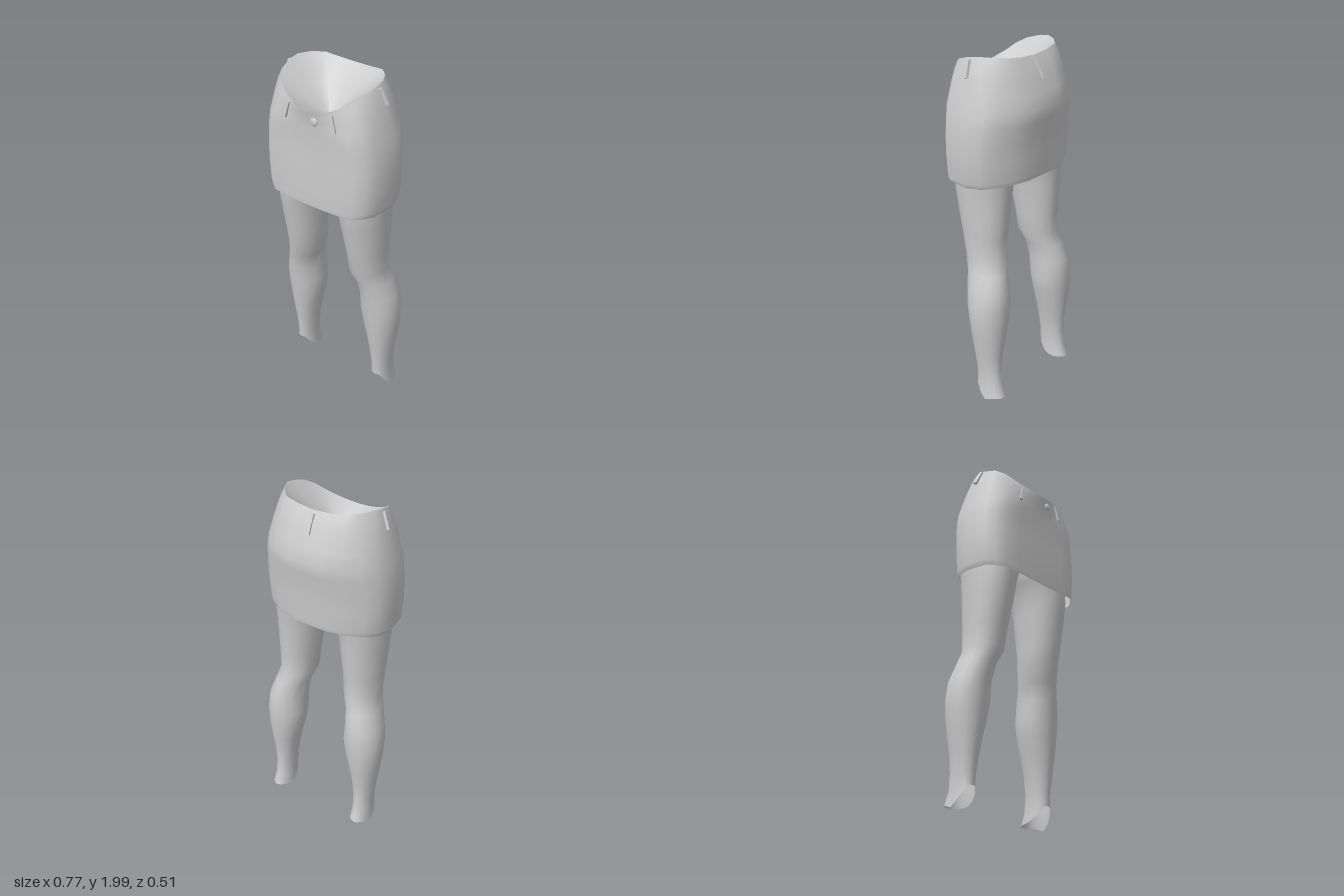
import * as THREE from 'three';

const lerp = THREE.MathUtils.lerp;
const material = new THREE.MeshStandardMaterial({ color: 0xcccccc, side: THREE.DoubleSide });

// Right half of the hip outline and of the waist rim, from front to back
const HIP = [[0, .225], [.08, .225], [.17, .223], [.27, .22], [.32, .18], [.36, .135],
  [.383, 0], [.355, -.105], [.3, -.165], [.21, -.225], [.105, -.255], [0, -.257]];
const RIM = [[0, .247], [.06, .243], [.12, .222], [.18, .2], [.23, .17], [.265, .12],
  [.278, .04], [.272, -.02], [.24, -.08], [.185, -.135], [.1, -.148], [0, -.155]];
const RIM_Y = [1.85, 1.855, 1.875, 1.9, 1.935, 1.965, 1.99, 2, 2, 1.995, 1.985, 1.98];

// Adds the mirrored half to a front-to-back list of points
function mirrorRing(half) {
  const other = half.slice(1, -1).reverse().map(p => new THREE.Vector3(-p.x, p.y, p.z));
  return [...half, ...other];
}

// Skins a stack of closed rings, ordered bottom to top
function loft(name, rings) {
  const n = rings[0].length, index = [];
  for (let r = 0; r < rings.length - 1; r++) {
    for (let i = 0; i < n; i++) {
      const a = r * n + i, b = r * n + (i + 1) % n;
      index.push(a, b, b + n, a, b + n, a + n);
    }
  }
  const geometry = new THREE.BufferGeometry().setFromPoints(rings.flat());
  geometry.setIndex(index);
  geometry.computeVertexNormals();
  const mesh = new THREE.Mesh(geometry, material);
  mesh.name = name;
  return mesh;
}

function skirtRings() {
  // Lower part: half width, front z, back z, front y, back y
  const lower = [
    [.362, .22, -.213, 1.29, 1.335], [.376, .222, -.217, 1.32, 1.36], [.384, .225, -.223, 1.45, 1.47],
    [.384, .224, -.23, 1.55, 1.56], [.377, .223, -.246, 1.64, 1.66], [.362, .228, -.256, 1.72, 1.73],
  ].map(([w, zf, zb, yf, yb]) => mirrorRing(HIP.map(([x, z], i) => new THREE.Vector3(
    x * w / .383, lerp(yf, yb, (1 - Math.cos(i / 11 * Math.PI)) / 2),
    z > 0 ? z * zf / .225 : z * zb / -.257))));
  // Upper part: height toward the rim, taper toward the rim
  const upper = [[.3, .24], [.6, .5], [.82, .74], [1, 1]].map(([h, t]) =>
    mirrorRing(HIP.map(([x, z], i) => new THREE.Vector3(
      lerp(x * .945, RIM[i][0], t), lerp(1.725, RIM_Y[i], h), lerp(z, RIM[i][1], t)))));
  return [...lower, ...upper];
}

// Leg sections: y, inner x, outer x, front z, back z
const LEG = [
  [.12, .228, .335, 0, -.165], [.2, .225, .337, .003, -.155], [.3, .21, .35, .015, -.16],
  [.4, .19, .365, .03, -.175], [.5, .165, .378, .042, -.185], [.6, .15, .384, .055, -.19],
  [.7, .156, .37, .065, -.185], [.8, .145, .338, .085, -.157], [.88, .113, .319, .115, -.133],
  [1, .105, .325, .135, -.135], [1.2, .08, .335, .178, -.15], [1.3, .066, .342, .192, -.157],
  [1.38, .035, .345, .195, -.17], [1.45, 0, .345, .195, -.185], [1.65, 0, .33, .18, -.19],
];
const SIDES = 16;

function legRing([y, x0, x1, zf, zb], side, height = () => y) {
  return Array.from({ length: SIDES }, (_, i) => {
    const a = i / SIDES * Math.PI * 2;
    return new THREE.Vector3(side * ((x0 + x1) / 2 + Math.sin(a) * (x1 - x0) / 2), height(i),
      (zf + zb) / 2 + Math.cos(a) * (zf - zb) / 2);
  });
}

function leg(side) {
  // Ragged ankle edge: high over the instep, low at the sides
  const hem = [.12, .12, .09, .045, .012, .025, .035, .035, .035, .035, .035, .035, .04, .06, .09, .12];
  const rings = [legRing([0, .223, .344, 0, -.19], side, i => hem[i]),
    ...LEG.map((s, k) => legRing(s, side, k ? undefined : i => hem[i] * .4 + .09))];
  if (side < 0) rings.forEach(r => r.reverse());
  return loft(side > 0 ? 'leftLeg' : 'rightLeg', rings);
}

// Thin strip running from a (bottom) to b (top), facing outward
function beltLoop(name, a, b, out) {
  const from = new THREE.Vector3(...a), to = new THREE.Vector3(...b);
  const up = to.clone().sub(from), length = up.length();
  up.normalize();
  const x = up.clone().cross(new THREE.Vector3(...out)).normalize();
  const z = x.clone().cross(up);
  const mesh = new THREE.Mesh(new THREE.BoxGeometry(.02, length, .014), material);
  mesh.quaternion.setFromRotationMatrix(new THREE.Matrix4().makeBasis(x, up, z));
  mesh.position.copy(from).add(to).multiplyScalar(.5);
  mesh.name = name;
  return mesh;
}

export function createModel() {
  const model = new THREE.Group();
  model.name = 'skirtAndLegs';

  const rings = skirtRings();
  model.add(loft('skirt', rings));

  // Shallow bowl closing the waist
  const rim = rings[rings.length - 1];
  const centre = new THREE.Vector3(0, 1.75, .06);
  const middle = rim.map(p => p.clone().lerp(centre, .5));
  model.add(loft('waistInside', [rim, middle, rim.map(() => centre)]));

  for (const s of [1, -1]) {
    const label = s > 0 ? 'left' : 'right';
    model.add(leg(s));
    model.add(beltLoop(label + 'FrontBeltLoop', [s * .16, 1.77, .227], [s * .135, 1.86, .222], [s * .2, 0, 1]));
    model.add(beltLoop(label + 'SideBeltLoop', [s * .325, 1.895, .018], [s * .288, 1.98, .032], [s, 0, .2]));
  }
  model.add(beltLoop('backBeltLoop', [0, 1.87, -.212], [0, 1.965, -.168], [0, 0, -1]));

  // Waist button
  const button = new THREE.Mesh(new THREE.SphereGeometry(.022, 12, 8), material);
  button.scale.z = .4;
  button.position.set(.045, 1.805, .243);
  button.name = 'button';
  model.add(button);

  return model;
}
